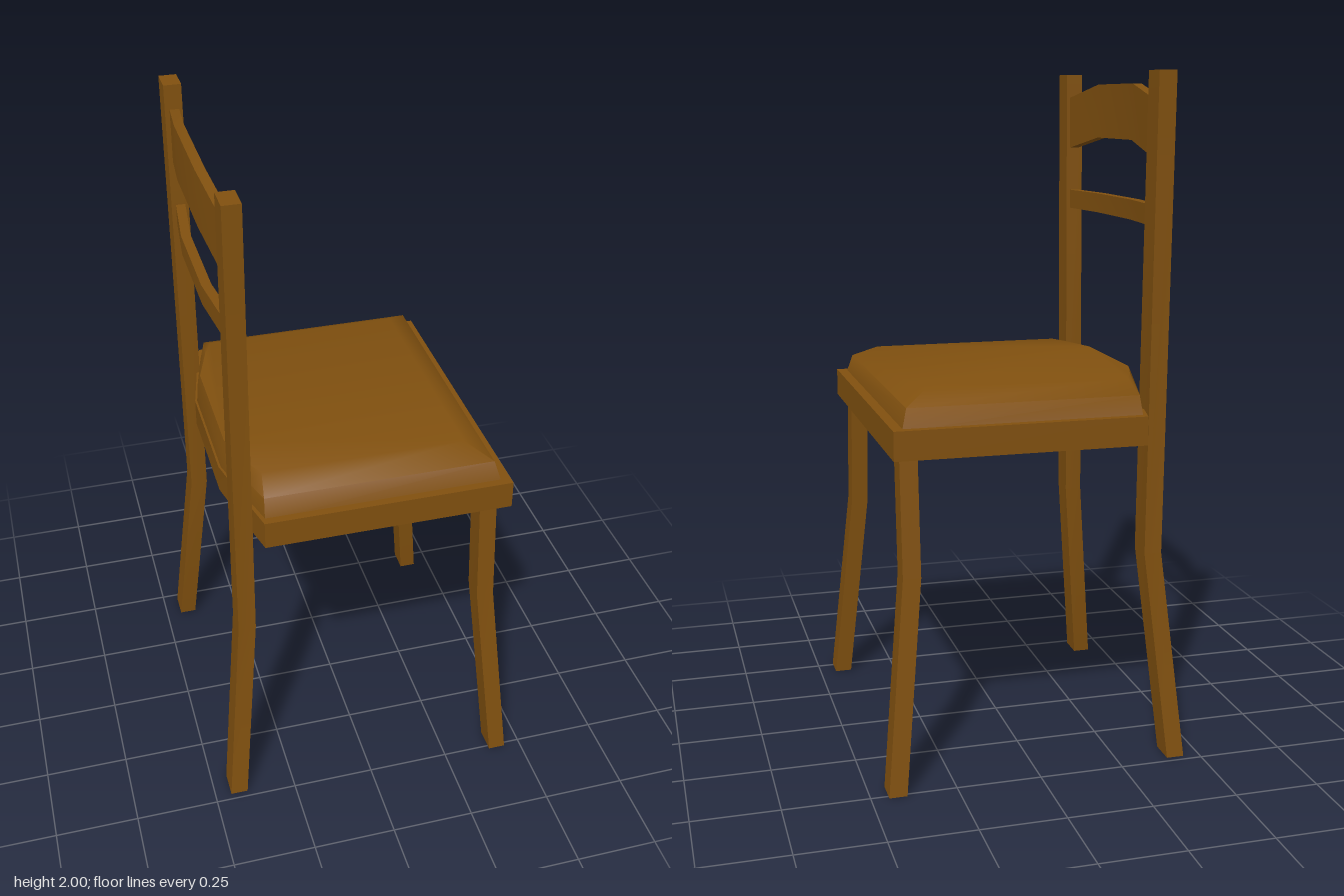
import * as THREE from 'three';
import { toCreasedNormals } from 'three/addons/utils/BufferGeometryUtils.js';

const wood = new THREE.MeshStandardMaterial({ color: 0x80500f });

// Skins a stack of matching rings and closes both ends
function loft(name, rings) {
  const n = rings[0].length;
  const last = (rings.length - 1) * n;
  const index = [];
  for (let r = 0; r < rings.length - 1; r++) {
    for (let i = 0; i < n; i++) {
      const a = r * n + i;
      const b = r * n + (i + 1) % n;
      index.push(a, b, b + n, a, b + n, a + n);
    }
  }
  for (let i = 1; i < n - 1; i++) {
    index.push(0, i + 1, i, last, last + i, last + i + 1);
  }
  const geo = new THREE.BufferGeometry();
  geo.setAttribute('position', new THREE.Float32BufferAttribute(rings.flat(2), 3));
  geo.setIndex(index);
  const mesh = new THREE.Mesh(toCreasedNormals(geo, Math.PI / 3), wood);
  mesh.name = name;
  return mesh;
}

// Bent square leg; sections are [y, xCentre, zCentre], side mirrors it in z
function leg(name, sections, width, depth, side) {
  const w = width / 2, d = depth / 2;
  return loft(name, sections.map(([y, x, zc]) => {
    const z = zc * side;
    return [[x - w, y, z - d], [x - w, y, z + d], [x + w, y, z + d], [x + w, y, z - d]];
  }));
}

// Bowed back rail; sections are [z, xCentre, yBottom, yTop]
function rail(name, sections) {
  const t = 0.014;
  return loft(name, sections.map(([z, x, y0, y1]) =>
    [[x - t, y0, z], [x + t, y0, z], [x + t, y1, z], [x - t, y1, z]]));
}

// Seat outline with a bowed back edge, inset at front, sides and back
function seatRing(y, front, side, back) {
  const half = [[-0.385 + back, 0.18], [-0.345 + back, 0.36 - side * 0.5],
    [-0.316 + back, 0.478 - side], [0.415 - front, 0.478 - side]];
  const mirrored = half.map(([x, z]) => [x, -z]).reverse();
  return [...half, ...mirrored].map(([x, z]) => [x, y, z]);
}

export function createModel() {
  const chair = new THREE.Group();
  chair.name = 'chair';

  // Legs; the rear pair continues upward as the back posts
  for (const [label, side] of [['Left', 1], ['Right', -1]]) {
    chair.add(leg('rearLegAndPost' + label,
      [[0, -0.425, 0.44], [0.62, -0.365, 0.373], [2, -0.365, 0.405]], 0.052, 0.08, side));
    chair.add(leg('frontLeg' + label,
      [[0, 0.423, 0.476], [0.62, 0.364, 0.418], [0.98, 0.364, 0.387]], 0.052, 0.074, side));
  }

  // Seat board and its bevelled cushion
  chair.add(loft('seatBoard', [seatRing(0.963, 0, 0, 0), seatRing(1.047, 0, 0, 0)]));
  chair.add(loft('seatCushion', [
    seatRing(1.04, 0.028, 0.022, 0.006),
    seatRing(1.1, 0.045, 0.045, 0.01),
    seatRing(1.137, 0.115, 0.115, 0.02),
  ]));

  // Back rails
  chair.add(rail('topRail', [
    [-0.375, -0.362, 1.765, 1.925], [-0.15, -0.386, 1.805, 1.967],
    [0.15, -0.386, 1.805, 1.967], [0.375, -0.362, 1.765, 1.925]]));
  chair.add(rail('lowerRail', [
    [-0.375, -0.362, 1.573, 1.632], [-0.15, -0.386, 1.573, 1.632],
    [0.15, -0.386, 1.573, 1.632], [0.375, -0.362, 1.573, 1.632]]));

  return chair;
}
